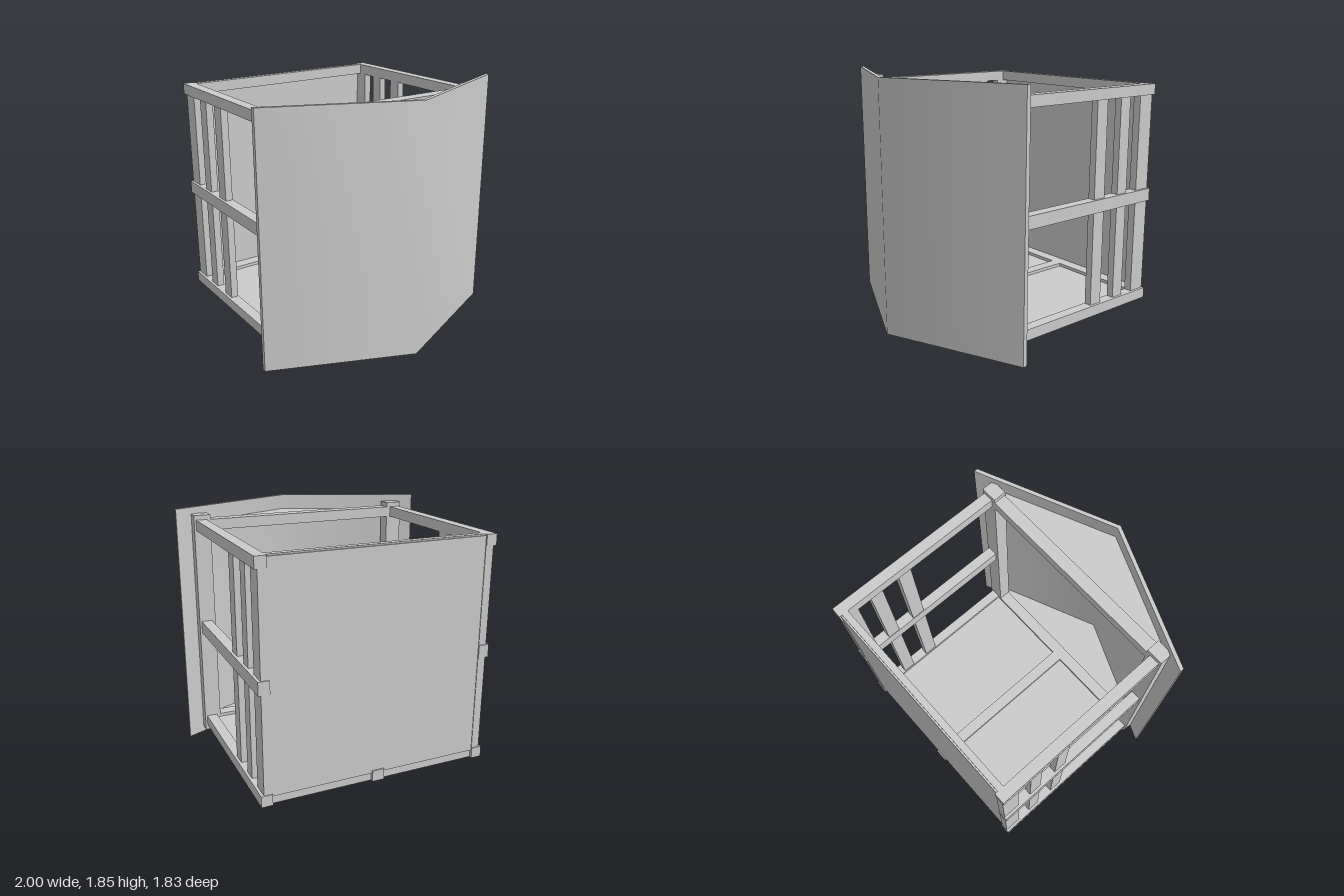
import * as THREE from 'three';
import { toCreasedNormals } from 'three/addons/utils/BufferGeometryUtils.js';

const material = new THREE.MeshStandardMaterial({ color: 0xcccccc });

export function createModel() {
  const model = new THREE.Group();
  model.name = 'slattedStand';

  const add = (name, geometry) => {
    const mesh = new THREE.Mesh(geometry, material);
    mesh.name = name;
    model.add(mesh);
    return mesh;
  };

  // Box given by its limits on each axis
  const box = (name, [x0, x1], [y0, y1], [z0, z1]) => {
    const mesh = add(name, new THREE.BoxGeometry(x1 - x0, y1 - y0, z1 - z0));
    mesh.position.set((x0 + x1) / 2, (y0 + y1) / 2, (z0 + z1) / 2);
  };

  // The same box on the left and right sides
  const boxPair = (name, [x0, x1], y, z) => {
    box(name + 'Left', [x0, x1], y, z);
    box(name + 'Right', [-x1, -x0], y, z);
  };

  // Upright prism from an outline of [x, z] points
  const prism = (outline, y0, y1) => {
    const shape = new THREE.Shape(outline.map(([x, z]) => new THREE.Vector2(x, -z)));
    const geometry = new THREE.ExtrudeGeometry(shape, { depth: y1 - y0, bevelEnabled: false });
    return geometry.rotateX(-Math.PI / 2).translate(0, y0, 0);
  };

  const low = [0.09, 0.17];
  const middle = [0.88, 0.975];
  const high = [1.685, 1.765];

  // Folded front panel, shaded softly across the fold
  const panel = prism([[-1, 0.45], [-1, 0.48], [0, 0.91], [1, 0.48], [1, 0.45], [0, 0.88]], 0, 1.85);
  add('frontPanel', toCreasedNormals(panel, THREE.MathUtils.degToRad(52)));

  // Front posts with a trimmed outer corner against the panel
  for (const [side, s] of [['Left', 1], ['Right', -1]]) {
    const outline = [[0.75, 0.42], [0.875, 0.42], [0.875, 0.5], [0.835, 0.52], [0.75, 0.52]];
    add('frontPost' + side, prism(outline.map(([x, z]) => [s * x, z]), 0.05, 1.8));
  }

  // Cross rails between the front posts, with triangular shelves behind the panel
  for (const [label, y] of [['Lower', low], ['Upper', high]]) {
    box('frontRail' + label, [-0.75, 0.75], y, [0.42, 0.515]);
    add('cornerShelf' + label, prism([[-0.84, 0.515], [0.84, 0.515], [0, 0.88]], y[0] + 0.03, y[1] - 0.03));
  }

  // Side rails
  for (const [label, y] of [['Lower', low], ['Middle', middle], ['Upper', high]]) {
    boxPair('sideRail' + label, [0.78, 0.86], y, [-0.918, 0.42]);
  }

  // Back posts and side slats, set between the rails
  for (const [y0, y1] of [[low[1], middle[0]], [middle[1], high[0]]]) {
    boxPair('backPost', [0.78, 0.84], [y0, y1], [-0.912, -0.78]);
    boxPair('sideSlat', [0.785, 0.84], [y0, y1], [-0.67, -0.57]);
    boxPair('sideSlat', [0.785, 0.84], [y0, y1], [-0.43, -0.325]);
  }

  // Back wall and its rails
  box('backWall', [-0.78, 0.78], [0.15, 1.755], [-0.907, -0.895]);
  box('backRailUpper', [-0.78, 0.78], high, [-0.895, -0.848]);
  box('backRailLower', [-0.78, 0.78], low, [-0.895, -0.8]);

  // Floor
  box('floorBeam', [-0.045, 0.045], low, [-0.918, 0.42]);
  boxPair('floorPanel', [0.045, 0.78], [0.125, 0.145], [-0.8, 0.42]);

  return model;
}
